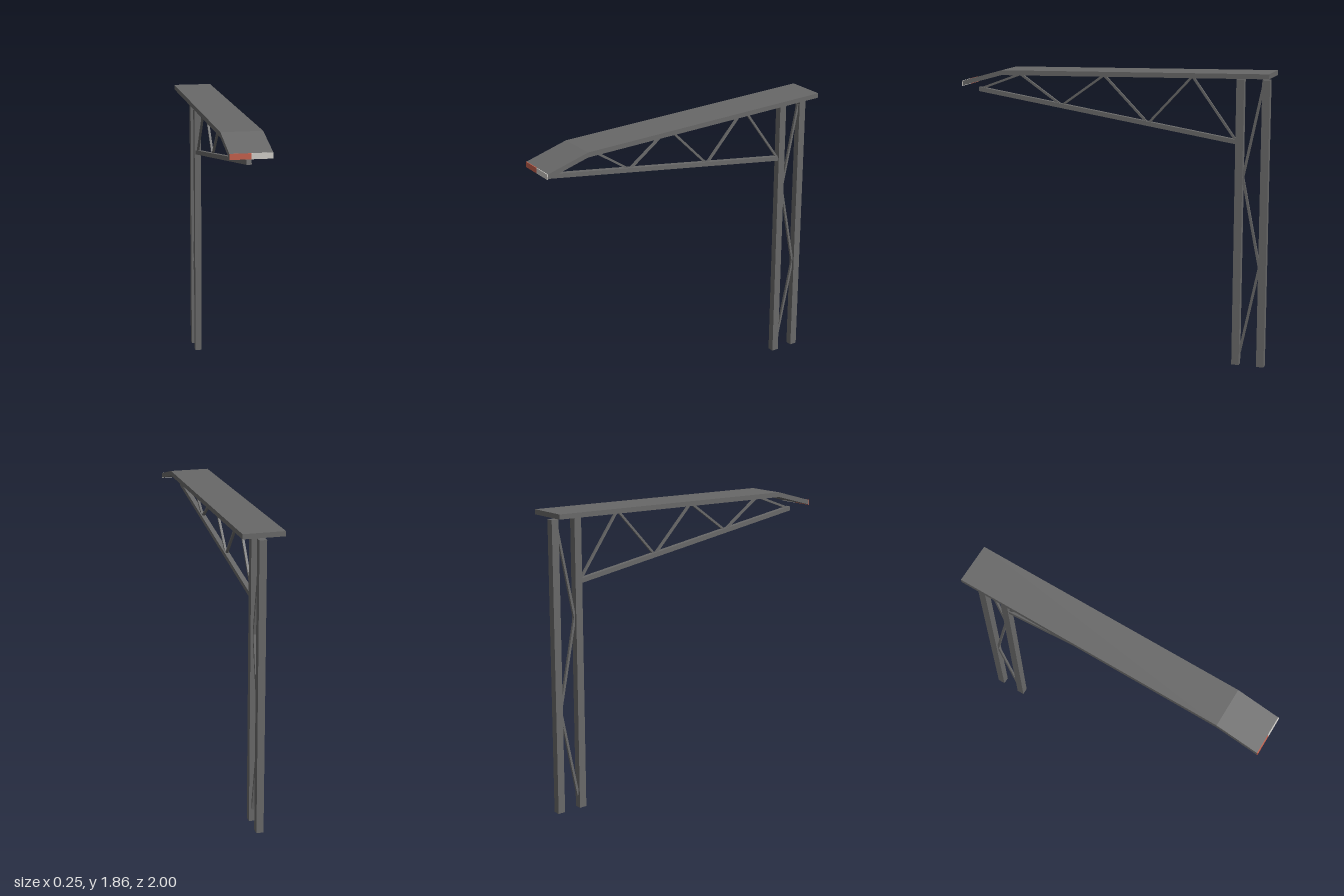
import * as THREE from 'three';

const steel = new THREE.MeshStandardMaterial({ name: 'steel grey', color: 0x686868 });
const red = new THREE.MeshStandardMaterial({ name: 'signal red', color: 0xc4604c });
const white = new THREE.MeshStandardMaterial({ name: 'off white', color: 0xcfccc8 });

function box(name, w, h, d, x, y, z, material = steel) {
  const mesh = new THREE.Mesh(new THREE.BoxGeometry(w, h, d), material);
  mesh.name = name;
  mesh.position.set(x, y, z);
  return mesh;
}

// Straight bar in the x = 0 plane between two [z, y] points
function bar(name, [z0, y0], [z1, y1], width, height) {
  const length = Math.hypot(z1 - z0, y1 - y0);
  const mesh = box(name, width, height, length, 0, (y0 + y1) / 2, (z0 + z1) / 2);
  mesh.rotation.x = -Math.atan2(y1 - y0, z1 - z0);
  return mesh;
}

// Zigzag of thin bars through a list of [z, y] points
function zigzag(name, points, size) {
  const group = new THREE.Group();
  group.name = name;
  for (let i = 1; i < points.length; i++) {
    group.add(bar('brace', points[i - 1], points[i], size, size));
  }
  return group;
}

export function createModel() {
  const model = new THREE.Group();
  model.name = 'cantilever canopy';

  // Long roof slab with a drooping front end, drawn in z and y
  const profile = new THREE.Shape([
    [-1, 1.83], [0.725, 1.795], [0.995, 1.72], [0.995, 1.75], [0.725, 1.826], [-1, 1.86],
  ].map(([z, y]) => new THREE.Vector2(z, y)));
  const roofGeometry = new THREE.ExtrudeGeometry(profile, { depth: 0.25, bevelEnabled: false });
  roofGeometry.rotateY(-Math.PI / 2).translate(0.125, 0, 0);
  const roof = new THREE.Mesh(roofGeometry, steel);
  roof.name = 'roof';
  model.add(roof);

  // Two-coloured plates on the front edge
  model.add(box('redEndPlate', 0.125, 0.034, 0.005, -0.0625, 1.734, 0.9975, red));
  model.add(box('whiteEndPlate', 0.125, 0.034, 0.005, 0.0625, 1.734, 0.9975, white));

  // Pair of posts
  for (const z of [-0.8, -0.96]) {
    model.add(box('post', 0.044, 1.812, 0.048, 0, 0.906, z));
  }

  // Bracing between the posts
  model.add(zigzag('postBracing', [[-0.823, 0.08], [-0.938, 0.64], [-0.823, 1.205], [-0.938, 1.765]], 0.015));

  // Sloping lower chord and the web under the roof
  model.add(bar('lowerChord', [0.932, 1.687], [-0.78, 1.425], 0.03, 0.028));
  model.add(zigzag('trussWeb', [
    [0.92, 1.69], [0.645, 1.792], [0.365, 1.602], [0.08, 1.805],
    [-0.21, 1.512], [-0.495, 1.818], [-0.78, 1.425],
  ], 0.014));

  return model;
}
